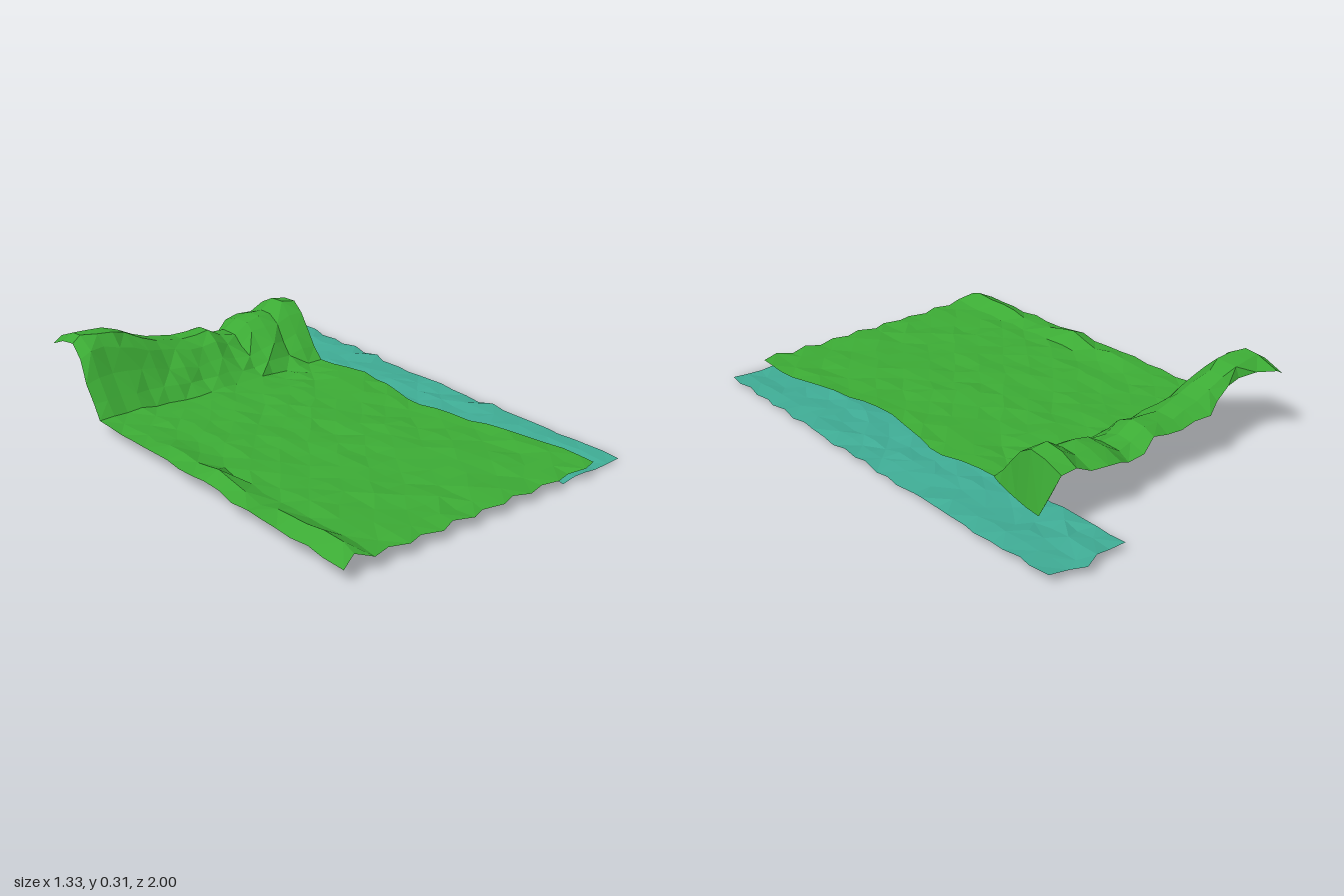
import * as THREE from 'three';

// Piecewise-linear lookup through [position, value] pairs
function lookup(pts, p) {
  if (p <= pts[0][0]) return pts[0][1];
  for (let i = 1; i < pts.length; i++) {
    const [a, va] = pts[i - 1], [b, vb] = pts[i];
    if (p <= b) return va + (vb - va) * (p - a) / (b - a);
  }
  return pts[pts.length - 1][1];
}

// Seeded jitter in -1..1
function makeJitter(seed) {
  return () => {
    seed = (seed * 16807) % 2147483647;
    return seed / 1073741823.5 - 1;
  };
}

// Sheet from rows (front to back) of points (left to right), facing up
function sheet(name, rows, material) {
  const cols = rows[0].length, index = [];
  for (let r = 0; r < rows.length - 1; r++) {
    for (let c = 0; c < cols - 1; c++) {
      const a = r * cols + c, b = a + 1, d = a + cols, e = d + 1;
      if ((r + c) % 2) index.push(a, b, d, b, e, d);
      else index.push(a, b, e, a, e, d);
    }
  }
  const g = new THREE.BufferGeometry();
  g.setAttribute('position', new THREE.Float32BufferAttribute(rows.flat(2), 3));
  g.setIndex(index);
  g.computeVertexNormals();
  const mesh = new THREE.Mesh(g, material);
  mesh.name = name;
  return mesh;
}

// Shoreline x along z, bank crest height and rear lip z along x
const SHORE = [[-0.77, 0.44], [-0.65, 0.44], [-0.42, 0.405], [-0.3, 0.415], [-0.16, 0.455], [0, 0.43],
  [0.2, 0.39], [0.4, 0.42], [0.6, 0.465], [0.8, 0.51], [0.98, 0.50]];
const CREST = [[-0.67, 0.27], [-0.61, 0.32], [-0.48, 0.312], [-0.42, 0.295], [-0.33, 0.25], [-0.26, 0.225],
  [-0.19, 0.215], [-0.11, 0.195], [-0.04, 0.227], [0.09, 0.155], [0.21, 0.227], [0.3, 0.213], [0.37, 0.26], [0.44, 0.25]];
const LIP = [[-0.65, -0.77], [-0.6, -0.78], [-0.49, -0.71], [-0.33, -0.73], [-0.27, -0.76], [-0.19, -0.735],
  [-0.11, -0.75], [-0.04, -0.72], [0.03, -0.76], [0.1, -0.74], [0.21, -0.79], [0.3, -0.77], [0.44, -0.77]];
// Bumps along the left border, height along z
const BUMPS = [[-0.4, 0], [-0.06, 0.005], [0.03, 0.035], [0.12, 0.015], [0.2, 0.02], [0.3, 0.055], [0.4, 0.02],
  [0.55, 0.005], [0.68, 0.025], [0.77, 0.038], [0.86, 0.035], [0.95, 0.062], [0.98, 0.03]];
// Bank section: z and fraction of the crest height
const SECTION = [[-0.4, 0], [-0.45, 0.22], [-0.5, 0.5], [-0.56, 0.82], [-0.62, 1], [-0.69, 0.98]];

function groundRows() {
  const jitter = makeJitter(11), rows = [], COLS = 17, FLAT = 18;
  const edgeX = (c, z) => {
    if (c === 0) return -0.665 + 0.004 * Math.sin(z * 40);
    return -0.6 + (lookup(SHORE, z) + 0.6) * (c - 1) / (COLS - 1);
  };
  const base = (x) => 0.05 - 0.012 * Math.min(x + 0.1, 0);
  // Flat meadow
  for (let r = 0; r < FLAT; r++) {
    const z0 = 0.985 - r * (1.385 / FLAT), row = [];
    for (let c = 0; c <= COLS; c++) {
      const border = c === 0 || c === COLS;
      const x = edgeX(c, z0) + (border ? 0 : 0.008 * jitter());
      const z = z0 + (r === 0 ? (c % 2 ? -0.012 : 0.012) : border ? 0 : 0.012 * jitter());
      let y = base(x) + 0.006 * jitter();
      if (c < 2) y += lookup(BUMPS, z0) * (c ? 0.9 : 0.25);
      row.push([x, y, z]);
    }
    rows.push(row);
  }
  // Rising bank and its drooping rear lip
  for (let s = 0; s <= SECTION.length; s++) {
    const lip = s === SECTION.length, row = [];
    const [z0, t] = lip ? [-0.77, 0.84] : SECTION[s];
    for (let c = 0; c <= COLS; c++) {
      let x = edgeX(c, z0);
      if (c === 0) x += 0.025 * t;
      const inner = c > 0 && c < COLS ? 1 : 0;
      const y = base(x) + (lookup(CREST, x) - base(x)) * t + (s < 4 || lip ? 0.008 * jitter() * inner : 0);
      row.push([x, y, lip ? lookup(LIP, x) : z0 + 0.012 * jitter() * inner]);
    }
    rows.push(row);
  }
  return rows;
}

function waterRows() {
  const jitter = makeJitter(5), rows = [], ROWS = 28, COLS = 5;
  const back = [-0.97, -0.965, -0.97, -1.0, -0.965, -0.955];
  for (let r = 0; r <= ROWS; r++) {
    const t = r / ROWS, row = [];
    for (let c = 0; c <= COLS; c++) {
      const x = 0.35 + 0.3 * c / COLS + (c === COLS ? (r % 2 ? 0.008 : -0.002) + 0.008 * t : c ? 0.01 * jitter() : 0);
      const end = r === 0 || r === ROWS;
      const z = 0.968 + (back[c] - 0.968) * t + (end ? 0 : 0.012 * jitter());
      const y = 0.016 + 0.022 * t * t + 0.007 * jitter();
      row.push([x, y, z]);
    }
    rows.push(row);
  }
  return rows;
}

export function createModel() {
  const group = new THREE.Group();
  group.name = 'riverbank';
  const paint = (color) => new THREE.MeshStandardMaterial({ color, flatShading: true, side: THREE.DoubleSide });
  const green = paint(0x3cab35), teal = paint(0x3fac95);

  // Grass sheet with the raised bank at the back
  const rows = groundRows();
  group.add(sheet('grass', rows, green));

  // Side wall closing the bank next to the water
  const top = rows.slice(-SECTION.length - 1).map((row) => row[row.length - 1]);
  const foot = top.map((p, i) => {
    const k = i / (top.length - 1);
    return [p[0] + 0.04 * Math.sqrt(k), 0.048 + (k === 1 ? 0.12 : 0.012 * k), p[2] + (k === 1 ? 0 : -0.02 * k)];
  });
  group.add(sheet('bankEnd', [top, foot].map((r) => r.slice().reverse()), green));

  // Strip of water running under the grass edge
  group.add(sheet('water', waterRows(), teal));
  return group;
}
